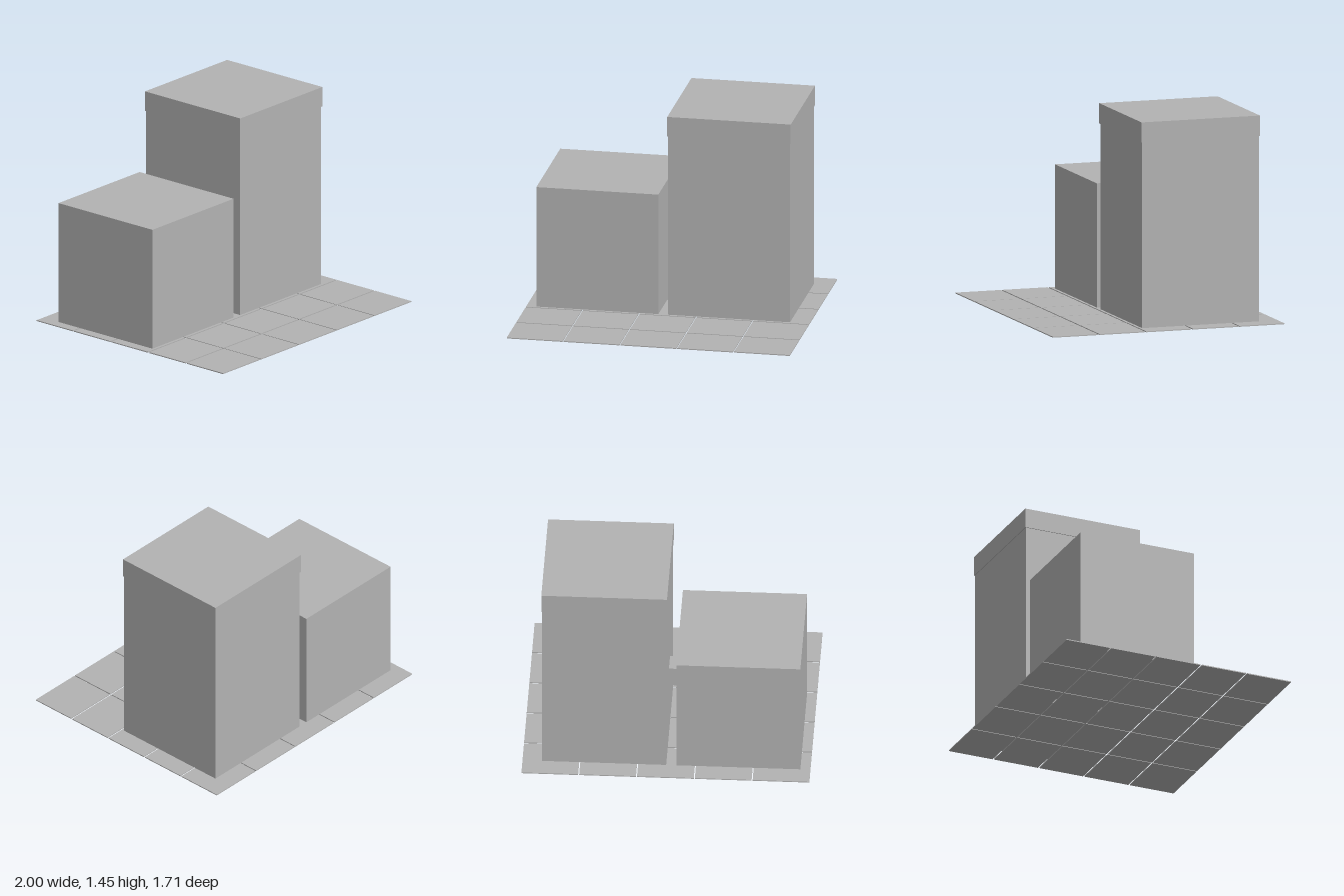
import * as THREE from 'three';

export function createModel() {
  const model = new THREE.Group();
  const grey = new THREE.MeshStandardMaterial({ color: 0xb2b2b2 });
  grey.name = 'concreteGrey';

  // Box given by its lower and upper corners
  const addBox = (name, [x0, y0, z0], [x1, y1, z1], parent = model) => {
    const mesh = new THREE.Mesh(new THREE.BoxGeometry(x1 - x0, y1 - y0, z1 - z0), grey);
    mesh.position.set((x0 + x1) / 2, (y0 + y1) / 2, (z0 + z1) / 2);
    mesh.name = name;
    parent.add(mesh);
  };

  // Paved ground: 5 x 5 thin slabs with narrow joints
  const paving = new THREE.Group();
  paving.name = 'paving';
  model.add(paving);
  const slab = 0.007, w = 0.394, d = 0.332, pitchX = 0.4015, pitchZ = 0.3435;
  for (let i = -2; i <= 2; i++) {
    for (let j = -2; j <= 2; j++) {
      const x = i * pitchX, z = j * pitchZ;
      addBox('pavingSlab', [x - w / 2, 0, z - d / 2], [x + w / 2, slab, z + d / 2], paving);
    }
  }

  // Low block, tower with overhanging cap, and the link between them
  const back = -0.714, front = 0.146, lip = 0.006;
  addBox('lowBlock', [-0.93, slab, back], [-0.068, 0.88, front]);
  addBox('tower', [0.002, slab, back], [0.863, 1.312, front]);
  addBox('towerCap', [0.002 - lip, 1.312, back - lip], [0.863 + lip, 1.454, front + lip]);
  addBox('link', [-0.068, 0.433, -0.359], [0.002, 0.577, -0.214]);

  return model;
}
